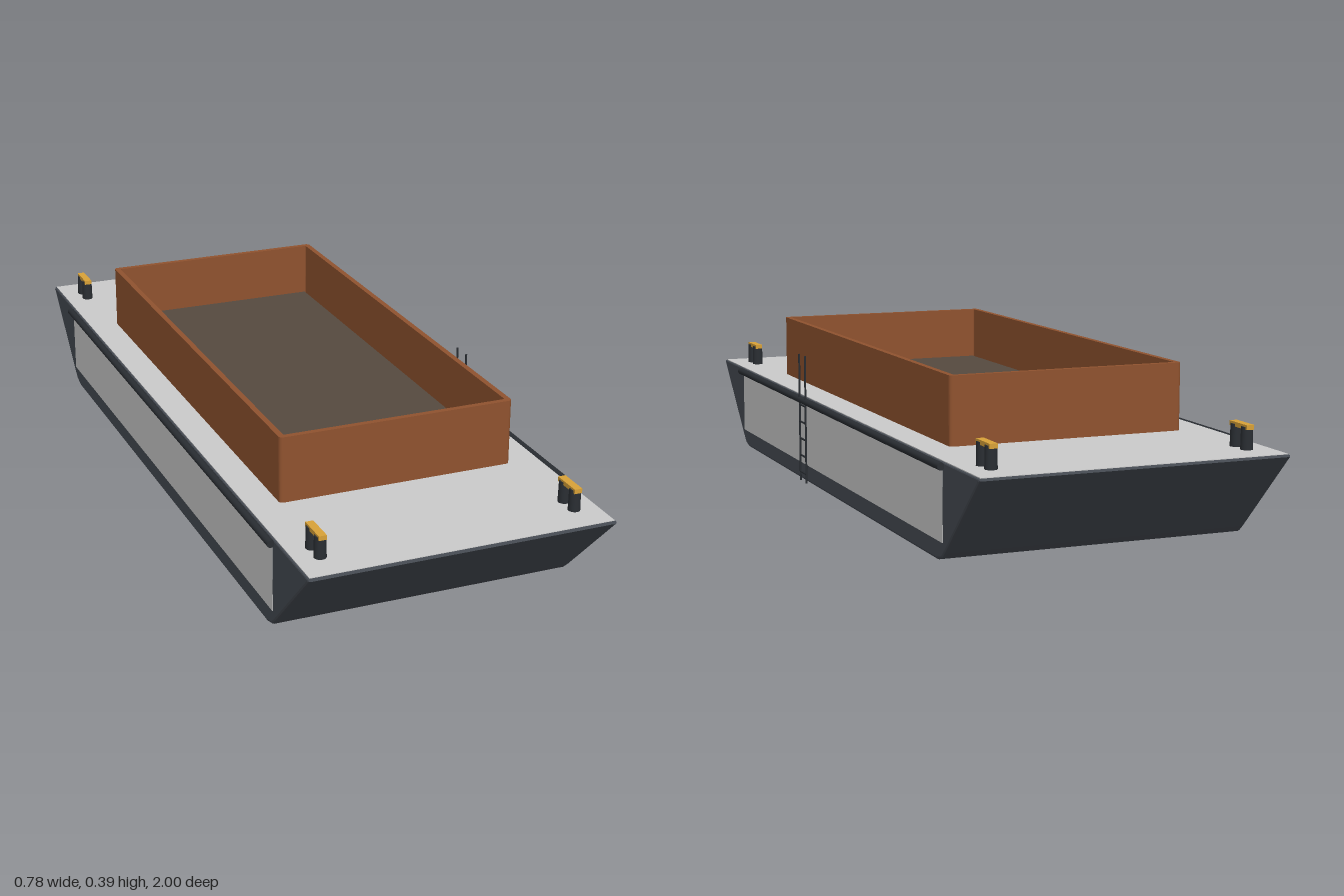
import * as THREE from 'three';

const mat = (color) => new THREE.MeshStandardMaterial({ color });
const hullMat = mat(0x464b53), darkMat = mat(0x2a2e33), greyMat = mat(0xcccccc);
const rustMat = mat(0x90532f), cargoMat = mat(0x564a3f), goldMat = mat(0xd9a238);

function add(parent, name, geometry, material, x = 0, y = 0, z = 0) {
  const mesh = new THREE.Mesh(geometry, material);
  mesh.name = name;
  mesh.position.set(x, y, z);
  parent.add(mesh);
  return mesh;
}

// Rectangle with rounded corners, centred on the origin
function roundedRect(target, w, h, r) {
  const x = w / 2, y = h / 2;
  target.moveTo(-x + r, -y);
  target.lineTo(x - r, -y).absarc(x - r, -y + r, r, -Math.PI / 2, 0);
  target.lineTo(x, y - r).absarc(x - r, y - r, r, 0, Math.PI / 2);
  target.lineTo(-x + r, y).absarc(-x + r, y - r, r, Math.PI / 2, Math.PI);
  target.lineTo(-x, -y + r).absarc(-x + r, -y + r, r, Math.PI, Math.PI * 1.5);
  return target;
}

// Hull: raked side profile extruded across the beam
function buildHull(group) {
  const bevel = 0.006, width = 0.748;
  const half = [[0.755, 0], [0.785, 0.008], [0.803, 0.024], [1, 0.22], [0.998, 0.225]];
  const mirrored = half.map(([z, y]) => [-z, y]).reverse();
  const profile = new THREE.Shape([...half, ...mirrored].map(([z, y]) => new THREE.Vector2(z, y)));
  const geo = new THREE.ExtrudeGeometry(profile, {
    depth: width - 2 * bevel, bevelEnabled: true, bevelSize: bevel,
    bevelThickness: bevel, bevelOffset: -bevel, bevelSegments: 2,
  });
  geo.translate(0, 0, -width / 2 + bevel).rotateY(Math.PI / 2);
  add(group, 'hull', geo, hullMat);
  add(group, 'deck', new THREE.BoxGeometry(0.738, 0.006, 1.988), greyMat, 0, 0.2235, 0);

  for (const s of [1, -1]) {
    add(group, 'sidePanel', new THREE.BoxGeometry(0.006, 0.168, 1.584), greyMat, s * 0.372, 0.129, 0);
    const rail = new THREE.CylinderGeometry(0.009, 0.009, 1.6, 12).rotateX(Math.PI / 2);
    add(group, 'rubRail', rail, darkMat, s * 0.381, 0.217, 0);
  }
}

// Open cargo hold: coaming wall around the load
function buildHold(group) {
  const wall = roundedRect(new THREE.Shape(), 0.588, 1.268, 0.01);
  wall.holes.push(roundedRect(new THREE.Path(), 0.56, 1.24, 0.004));
  const geo = new THREE.ExtrudeGeometry(wall, { depth: 0.167, bevelEnabled: false, curveSegments: 4 });
  add(group, 'coaming', geo.rotateX(-Math.PI / 2), rustMat, 0, 0.222, 0);
  add(group, 'holdBed', new THREE.BoxGeometry(0.57, 0.01, 1.25), darkMat, 0, 0.226, 0);
  add(group, 'cargo', new THREE.BoxGeometry(0.546, 0.03, 1.22), cargoMat, 0, 0.238, 0);
}

// Mooring bitt: two posts joined by a gold bar
function buildBitt(x, z) {
  const bitt = new THREE.Group();
  bitt.name = 'mooringBitt';
  bitt.position.set(x, 0.225, z);
  for (const s of [1, -1]) {
    add(bitt, 'post', new THREE.CylinderGeometry(0.0135, 0.0145, 0.054, 16), darkMat, 0, 0.027, s * 0.0235);
  }
  add(bitt, 'crossbar', new THREE.BoxGeometry(0.019, 0.011, 0.077), goldMat, 0, 0.0535, 0);
  return bitt;
}

// Boarding ladder on the left side of the hull
function buildLadder() {
  const ladder = new THREE.Group();
  ladder.name = 'ladder';
  ladder.position.set(0.384, 0, 0.19);
  for (const s of [1, -1]) {
    add(ladder, 'stile', new THREE.CylinderGeometry(0.0027, 0.0027, 0.338, 8), darkMat, 0, 0.17, s * 0.025);
  }
  for (let i = 0; i < 5; i++) {
    const rung = new THREE.CylinderGeometry(0.0025, 0.0025, 0.05, 8).rotateX(Math.PI / 2);
    add(ladder, 'rung', rung, darkMat, 0, 0.025 + i * 0.045, 0);
  }
  return ladder;
}

export function createModel() {
  const barge = new THREE.Group();
  barge.name = 'barge';
  buildHull(barge);
  buildHold(barge);
  for (const x of [-0.311, 0.311]) {
    for (const z of [-0.889, 0.889]) barge.add(buildBitt(x, z));
  }
  barge.add(buildLadder());
  return barge;
}
